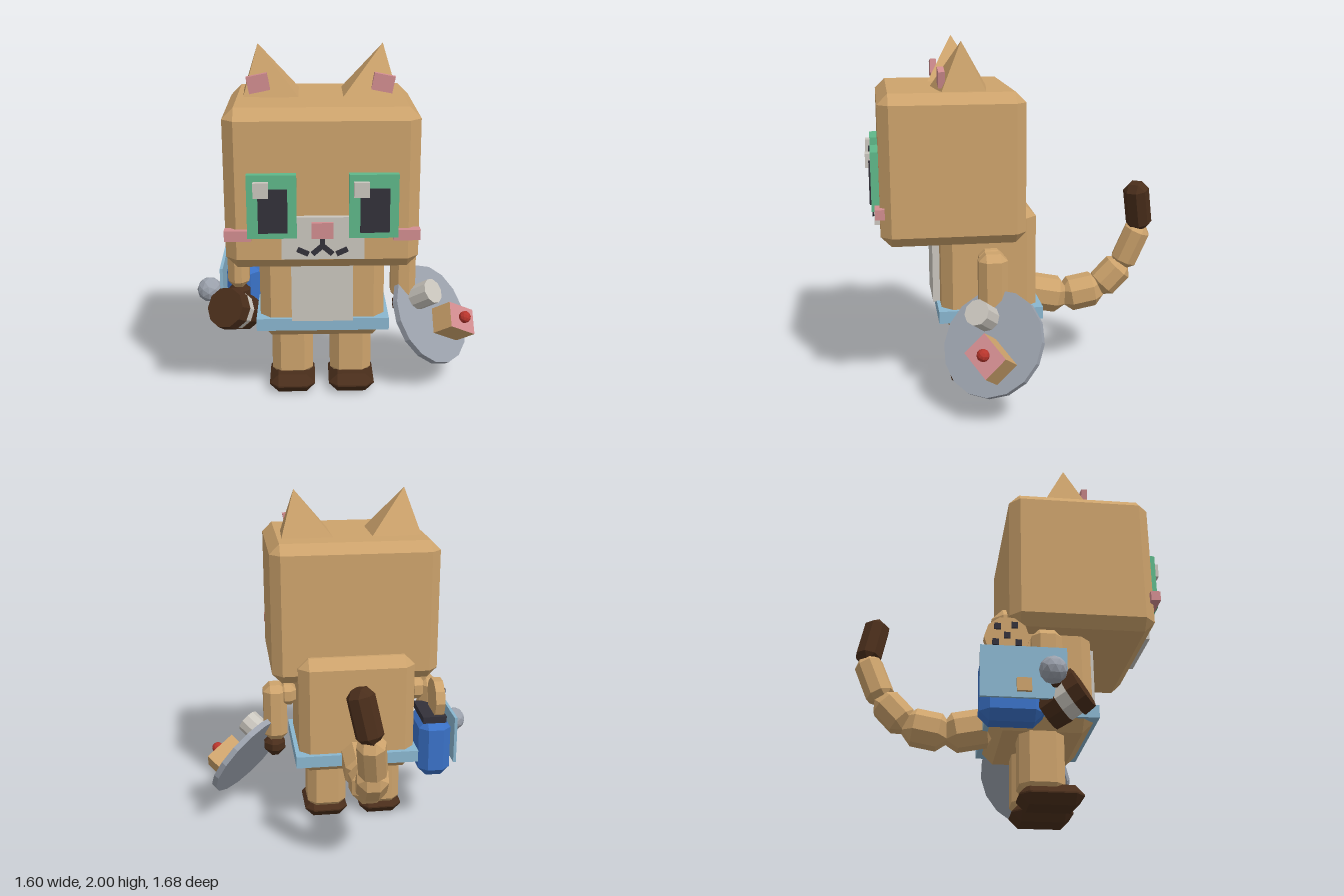
import * as THREE from 'three';
import { ConvexGeometry } from 'three/addons/geometries/ConvexGeometry.js';

const mat = (name, color) => {
  const m = new THREE.MeshStandardMaterial({ color, flatShading: true });
  m.name = name;
  return m;
};
const V = (x, y, z) => new THREE.Vector3(x, y, z);
const MID = -0.09; // symmetry plane of the body

// Box with every edge cut at 45 degrees
function chamferBox(w, h, d, c) {
  const pts = [];
  for (const sx of [-1, 1]) for (const sy of [-1, 1]) for (const sz of [-1, 1]) {
    const a = w / 2, b = h / 2, e = d / 2;
    pts.push(V(sx * a, sy * (b - c), sz * (e - c)));
    pts.push(V(sx * (a - c), sy * b, sz * (e - c)));
    pts.push(V(sx * (a - c), sy * (b - c), sz * e));
  }
  return new ConvexGeometry(pts);
}

export function createModel() {
  const tan = mat('tanFur', 0xcda36c), brown = mat('darkBrown', 0x4a2e1b), pink = mat('pink', 0xd28d90);
  const pale = mat('paleGrey', 0xcac6be), green = mat('eyeGreen', 0x5fb88a), black = mat('black', 0x33313a);
  const sky = mat('lightBlue', 0x8ab6cf), blue = mat('blue', 0x3a72c8), grey = mat('steelGrey', 0x9ba1ac);
  const red = mat('red', 0xb8352c);
  const model = new THREE.Group();

  const add = (name, geo, material, x = 0, y = 0, z = 0, parent = model) => {
    const m = new THREE.Mesh(geo, material);
    m.name = name;
    m.position.set(x, y, z);
    parent.add(m);
    return m;
  };
  // Box given by its limits; c > 0 cuts the edges
  const block = (name, material, [x0, x1], [y0, y1], [z0, z1], c = 0) => {
    const s = [x1 - x0, y1 - y0, z1 - z0];
    const geo = c ? chamferBox(...s, c) : new THREE.BoxGeometry(...s);
    return add(name, geo, material, (x0 + x1) / 2, (y0 + y1) / 2, (z0 + z1) / 2);
  };
  const mirrorX = ([a, b]) => [2 * MID - b, 2 * MID - a];

  // Head, body, belly patch and belt
  block('head', tan, [-0.58, 0.4], [0.915, 1.74], [-0.02, 0.77], 0.058);
  block('body', tan, [-0.43, 0.255], [0.38, 1.085], [-0.1, 0.44], 0.06);
  block('bellyPatch', pale, [-0.255, 0.08], [0.505, 0.95], [0.42, 0.48]);
  block('belt', sky, [-0.45, 0.28], [0.44, 0.51], [-0.13, 0.46]);

  // Paired parts: s = 1 is the left, s = -1 the right
  for (const s of [1, -1]) {
    const side = s > 0 ? 'left' : 'right';
    const rx = (r) => (s > 0 ? r : mirrorX(r));
    block(side + 'Leg', tan, rx([-0.04, 0.195]), [0.06, 0.45], [0.05, 0.29], 0.05);
    block(side + 'Foot', brown, rx([-0.05, 0.21]), [0, 0.108], [0.05, 0.388], 0.05);
    block(side + 'Shoulder', tan, rx([0.25, 0.36]), [0.74, 0.87], [0.1, 0.24], 0.035);
    block(side + 'Cheek', pink, rx([0.265, 0.4]), [1.08, 1.135], [0.745, 0.797]);

    // Ear: skewed pyramid with a pink plate
    const ex = (x) => MID + s * (x - MID);
    const ear = [[0.025, 1.745, 0.16], [0.32, 1.735, 0.19], [0.31, 1.735, 0.43], [0.025, 1.745, 0.47], [0.235, 2, 0.315]];
    add(side + 'Ear', new ConvexGeometry(ear.map(([x, y, z]) => V(ex(x), y, z))), tan);
    const inner = add(side + 'InnerEar', new THREE.BoxGeometry(0.11, 0.088, 0.035), pink, ex(0.232), 1.81, 0.425);
    inner.rotation.z = -0.2 * s;

    // Eye: frame, pupil, glint
    const e = s > 0 ? 0.165 : -0.34;
    block(side + 'Iris', green, [e - 0.123, e + 0.123], [1.1, 1.425], [0.76, 0.813]);
    block(side + 'Pupil', black, [e - 0.068, e + 0.078], [1.13, 1.355], [0.8, 0.822]);
    const g = s > 0 ? 0.103 : -0.392;
    block(side + 'EyeGlint', pale, [g - 0.038, g + 0.038], [1.315, 1.392], [0.8, 0.84]);
  }

  // Muzzle, nose and mouth strokes
  block('muzzle', pale, [-0.295, 0.12], [0.985, 1.205], [0.76, 0.8]);
  block('nose', pink, [-0.145, -0.035], [1.1, 1.182], [0.79, 0.822]);
  const stroke = (x0, y0, x1, y1) => {
    const m = add('mouthStroke', new THREE.BoxGeometry(Math.hypot(x1 - x0, y1 - y0), 0.026, 0.012), black, (x0 + x1) / 2, (y0 + y1) / 2, 0.804);
    m.rotation.z = Math.atan2(y1 - y0, x1 - x0);
  };
  stroke(MID, 1.1, MID, 1.04);
  for (const s of [1, -1]) {
    stroke(MID, 1.058, MID + s * 0.05, 1.015);
    stroke(MID + s * 0.07, 1.015, MID + s * 0.125, 1.04);
  }

  // Arms and paws
  block('leftForearm', tan, [0.31, 0.45], [0.52, 0.87], [0.09, 0.25], 0.04);
  block('leftPaw', brown, [0.325, 0.45], [0.41, 0.54], [0.1, 0.24], 0.045);
  block('rightForearm', tan, [-0.62, -0.5], [0.6, 0.87], [0.09, 0.25], 0.04);
  block('rightPaw', brown, [-0.62, -0.5], [0.48, 0.62], [0.1, 0.23], 0.045);

  // Tail: chain of cut-edged segments with a dark tip
  const path = [V(-0.09, 0.5, -0.07), V(-0.09, 0.45, -0.32), V(-0.09, 0.49, -0.54), V(-0.08, 0.64, -0.68), V(-0.05, 0.88, -0.775), V(0.005, 1.14, -0.73)];
  const widths = [0.205, 0.195, 0.17, 0.15, 0.14];
  widths.forEach((w, i) => {
    const a = path[i], b = path[i + 1];
    const p = a.clone().add(b).multiplyScalar(0.5);
    const seg = add(i < 4 ? 'tailSegment' : 'tailTip', chamferBox(w, w, a.distanceTo(b) + 0.03, w * 0.29), i < 4 ? tan : brown, p.x, p.y, p.z);
    seg.lookAt(b);
  });

  // Shield: tilted disc with a cup and a block on its outer face
  const shield = new THREE.Group();
  shield.name = 'shield';
  const n = V(0.66, 0.53, 0.53).normalize(), e2 = V(0, -1, 1).normalize();
  shield.quaternion.setFromRotationMatrix(new THREE.Matrix4().makeBasis(n.clone().cross(e2), n, e2));
  shield.position.set(0.545, 0.41, 0.19);
  model.add(shield);
  add('shieldDisc', new THREE.CylinderGeometry(0.295, 0.295, 0.035, 16), grey, 0, 0, 0, shield);
  add('shieldCup', new THREE.CylinderGeometry(0.073, 0.073, 0.13, 10), pale, -0.127, 0.08, -0.066, shield);
  add('shieldBlock', new THREE.BoxGeometry(0.2, 0.14, 0.15), [tan, tan, pink, tan, tan, tan], 0.099, 0.085, 0.046, shield);
  add('shieldKnob', new THREE.IcosahedronGeometry(0.035, 1), red, 0.099, 0.175, 0.046, shield);

  // Side bag with dark mouth, flap and button
  block('bag', blue, [-0.635, -0.445], [0.35, 0.705], [-0.18, 0.15], 0.05);
  block('bagMouth', black, [-0.605, -0.465], [0.69, 0.73], [-0.15, 0.12]);
  block('bagFlap', sky, [-0.662, -0.645], [0.45, 0.73], [-0.185, 0.26]);
  block('bagButton', tan, [-0.682, -0.655], [0.48, 0.55], [0, 0.075]);

  // Round biscuit with dark chips, standing in the bag
  const biscuit = new THREE.Group();
  biscuit.name = 'biscuit';
  biscuit.position.set(-0.565, 0.81, -0.04);
  biscuit.rotation.z = Math.PI / 2;
  model.add(biscuit);
  add('biscuitDisc', new THREE.CylinderGeometry(0.12, 0.12, 0.055, 10), tan, 0, 0, 0, biscuit);
  for (const [x, z] of [[0.06, -0.05], [0.07, 0.04], [0.01, 0], [-0.03, -0.06], [-0.03, 0.06]])
    add('chip', new THREE.BoxGeometry(0.034, 0.012, 0.034), black, x, 0.03, z, biscuit);

  // Mallet: banded head and a round pommel
  const mallet = new THREE.Group();
  mallet.name = 'mallet';
  mallet.position.set(-0.575, 0.475, 0.245);
  mallet.quaternion.setFromUnitVectors(V(0, 1, 0), V(-0.45, 0.45, 0.77).normalize());
  model.add(mallet);
  const drum = (name, r0, r1, h, y, m) => add(name, new THREE.CylinderGeometry(r1, r0, h, 10), m, 0, y, 0, mallet);
  drum('malletFace', 0.123, 0.115, 0.07, 0.09, brown);
  drum('malletBand', 0.108, 0.108, 0.08, 0.02, pale);
  drum('malletBack', 0.105, 0.112, 0.09, -0.06, brown);
  add('malletPommel', new THREE.IcosahedronGeometry(0.072, 1), grey, -0.73, 0.575, 0.175);
  const grip = add('malletGrip', new THREE.CylinderGeometry(0.03, 0.03, 0.17, 8), brown, -0.655, 0.535, 0.2);
  grip.quaternion.setFromUnitVectors(V(0, 1, 0), V(-0.85, 0.48, -0.2).normalize());

  return model;
}
